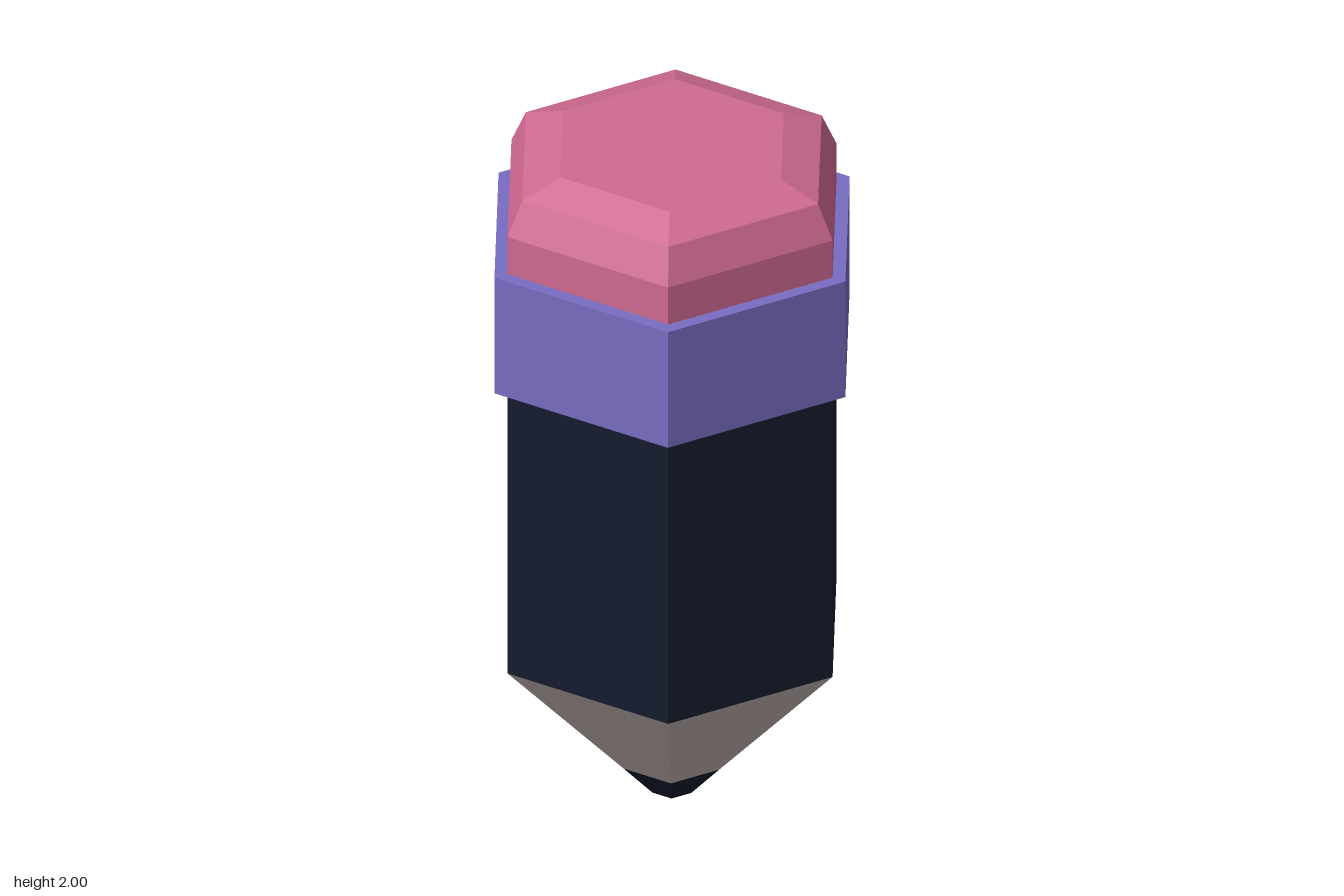
import * as THREE from 'three';

// Hexagonal part swept from [radius, y] points, listed bottom to top, corners on the x axis
function hexPart(name, color, profile) {
  const points = profile.map(([r, y]) => new THREE.Vector2(r, y));
  const geometry = new THREE.LatheGeometry(points, 6, Math.PI / 2);
  const material = new THREE.MeshStandardMaterial({ color, flatShading: true });
  const mesh = new THREE.Mesh(geometry, material);
  mesh.name = name;
  return mesh;
}

export function createModel() {
  const pencil = new THREE.Group();
  pencil.name = 'pencil';
  pencil.add(
    // blunt lead point with a flat end
    hexPart('leadTip', 0x141c2e, [[0, 0], [0.06, 0], [0.147, 0.1]]),
    // sharpened bare wood
    hexPart('woodCone', 0xc4b5b2, [[0.147, 0.1], [0.5, 0.5]]),
    // painted barrel
    hexPart('barrel', 0x141c2e, [[0.5, 0.5], [0.5, 1.385]]),
    // wider collar holding the eraser
    hexPart('collar', 0x786dc2, [[0.5, 1.385], [0.54, 1.385], [0.54, 1.745], [0.5, 1.745]]),
    // eraser with two bevels
    hexPart('eraser', 0xd06a92, [[0.5, 1.745], [0.5, 1.86], [0.455, 1.96], [0.34, 2], [0, 2]])
  );
  return pencil;
}
